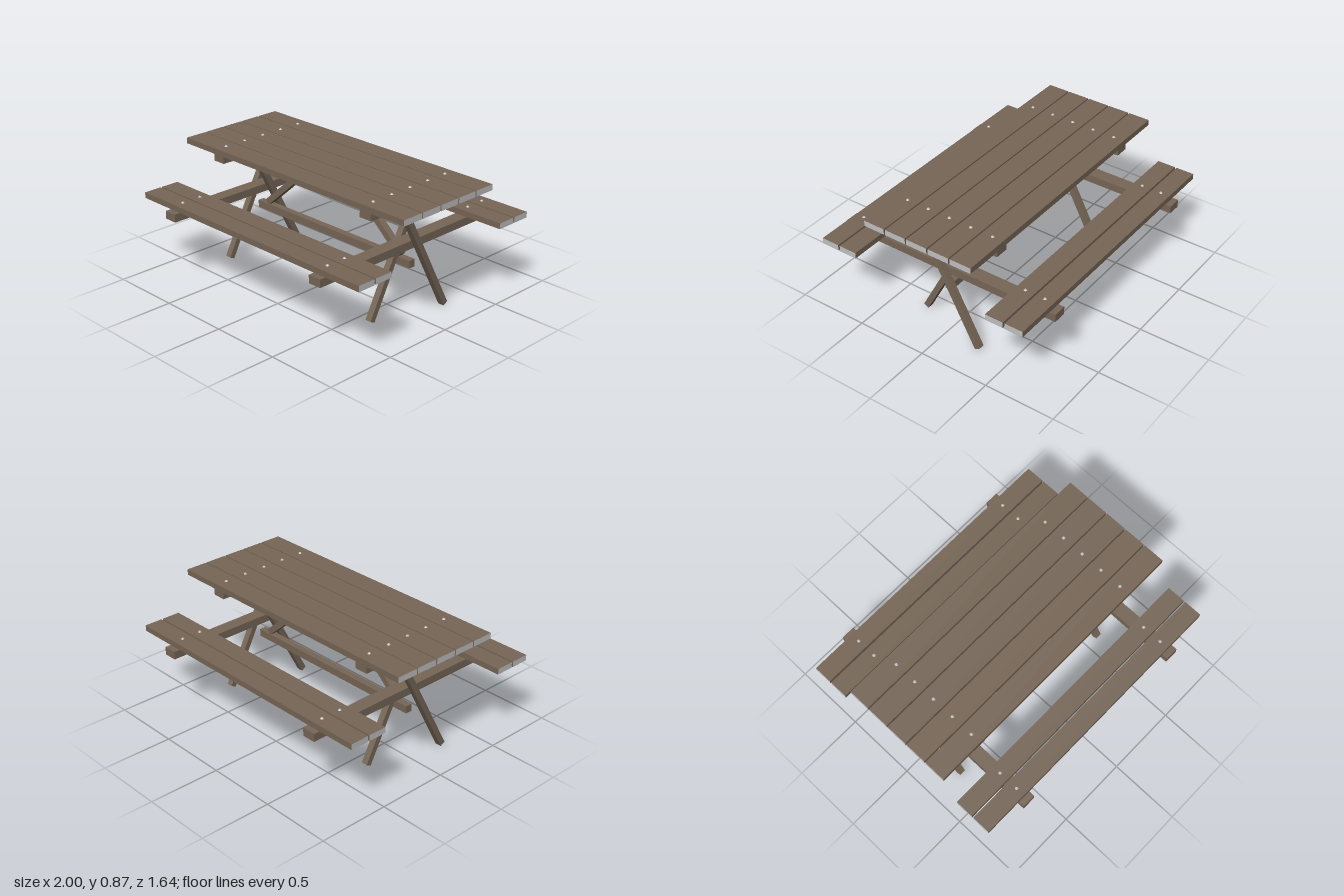
import * as THREE from 'three';

export function createModel() {
  const model = new THREE.Group();
  model.name = 'picnicTable';

  const wood = new THREE.MeshStandardMaterial({ color: 0x766656 });
  wood.name = 'brown wood';
  const pale = new THREE.MeshStandardMaterial({ color: 0xc0c0c0 });
  pale.name = 'pale grey';

  const beam = (name, size, pos, material = wood) => {
    const mesh = new THREE.Mesh(new THREE.BoxGeometry(...size), material);
    mesh.name = name;
    mesh.position.set(...pos);
    model.add(mesh);
    return mesh;
  };

  // Board along x with pale sawn ends and one bolt above each frame
  const boltGeometry = new THREE.CylinderGeometry(0.006, 0.012, 0.007, 8);
  const plank = (name, z, y, width) => {
    beam(name, [2, 0.04, width], [0, y, z], [pale, pale, wood, wood, wood, wood]);
    for (const x of [-0.678, 0.678]) {
      const bolt = new THREE.Mesh(boltGeometry, pale);
      bolt.name = name + 'Bolt';
      bolt.position.set(x, y + 0.0235, z);
      model.add(bolt);
    }
  };

  // Table top and benches
  for (let i = -2; i <= 2; i++) plank('topPlank', i * 0.1635, 0.845, 0.154);
  for (const side of [-1, 1]) {
    for (const z of [0.568, 0.711]) plank('benchPlank', side * z, 0.55, 0.13);
  }

  // End frames: bearers, crossed legs and diagonal brace
  const legTilt = Math.atan2(0.407, 0.774);
  const braceTilt = Math.atan2(0.42, 0.48);
  for (const side of [-1, 1]) {
    beam('topBearer', [0.095, 0.055, 0.786], [side * 0.678, 0.7975, 0]);
    beam('benchBearer', [0.095, 0.055, 1.636], [side * 0.678, 0.5025, 0]);

    const outerLeg = beam('outerLeg', [0.045, 0.875, 0.04], [side * 0.751, 0.396, -side * 0.061]);
    outerLeg.rotation.x = side * legTilt;
    const innerLeg = beam('innerLeg', [0.045, 0.875, 0.04], [side * 0.604, 0.396, side * 0.061]);
    innerLeg.rotation.x = -side * legTilt;

    const brace = beam('brace', [0.638, 0.043, 0.048], [side * 0.38, 0.604, 0]);
    brace.rotation.z = -side * braceTilt;
  }

  // Long rail joining the frames
  beam('stretcher', [1.42, 0.052, 0.048], [0, 0.358, 0]);

  return model;
}
